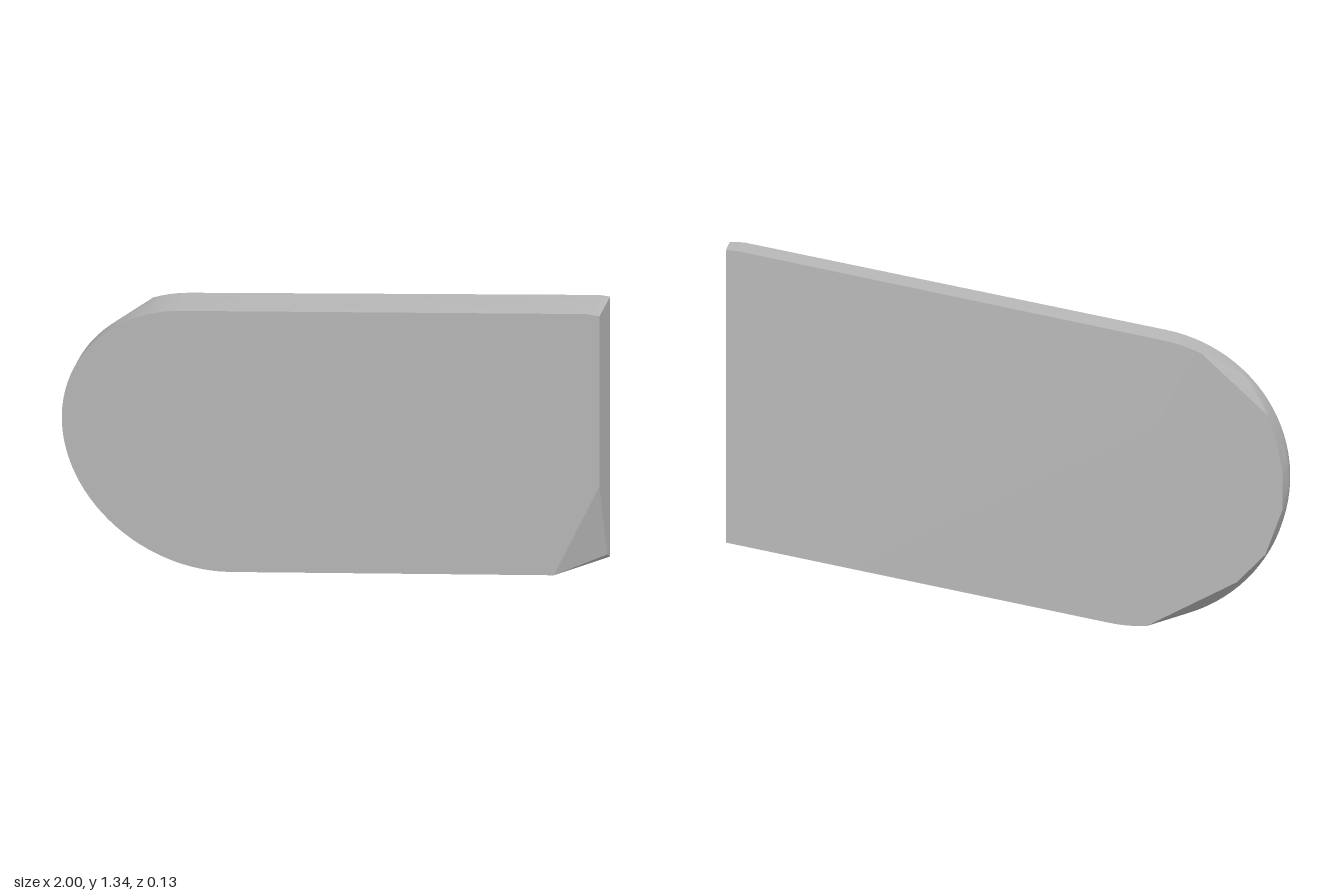
import * as THREE from 'three';
import { ConvexGeometry } from 'three/addons/geometries/ConvexGeometry.js';
import { toCreasedNormals } from 'three/addons/utils/BufferGeometryUtils.js';

const HALF = 0.063;                       // half the slab thickness
const CX = -0.463, CY = 0.543, R = 0.537; // centre and radius of the round end

// Points along the round end, angles in degrees
function arc(from, to, steps, radius, z) {
  const pts = [];
  for (let i = 0; i <= steps; i++) {
    const a = THREE.MathUtils.degToRad(from + (to - from) * i / steps);
    pts.push(new THREE.Vector3(CX + radius * Math.cos(a), CY + radius * Math.sin(a), z));
  }
  return pts;
}

export function createModel() {
  const group = new THREE.Group();
  const grey = new THREE.MeshStandardMaterial({ color: 0xb8b8b8 });
  grey.name = 'light grey';

  const points = [
    // round end: front edge, fuller middle and top and bottom of the back
    ...arc(100, 280, 48, R - 0.001, HALF),
    ...arc(118, 262, 38, R, 0.015),
    ...arc(100, 116, 5, R, -HALF),
    ...arc(266, 280, 5, R, -HALF),
  ];

  // shallow bevel on the back of the round end
  const bevel = [[-0.93, 0.80], [-0.962, 0.70], [-0.983, 0.59], [-0.983, 0.45], [-0.922, 0.28], [-0.82, 0.175]];
  for (const [x, y] of bevel) {
    const hinge = -0.49 - 0.206 * y;
    points.push(new THREE.Vector3(x, y, -HALF + 0.07 * (hinge - x)));
  }

  // square end with its lower front corner cut away
  const corners = [
    [0.95, 1.342, HALF], [1, 1.342, HALF], [0.96, 1.349, -HALF], [1, 1.35, -HALF],
    [1, 0.63, HALF], [0.83, 0.228, HALF], [1, 0.292, -0.03], [1, 0.264, -HALF],
  ];
  for (const c of corners) points.push(new THREE.Vector3(...c));

  const slab = new THREE.Mesh(toCreasedNormals(new ConvexGeometry(points), 0.3), grey);
  slab.name = 'roundedSlab';
  group.add(slab);
  return group;
}
